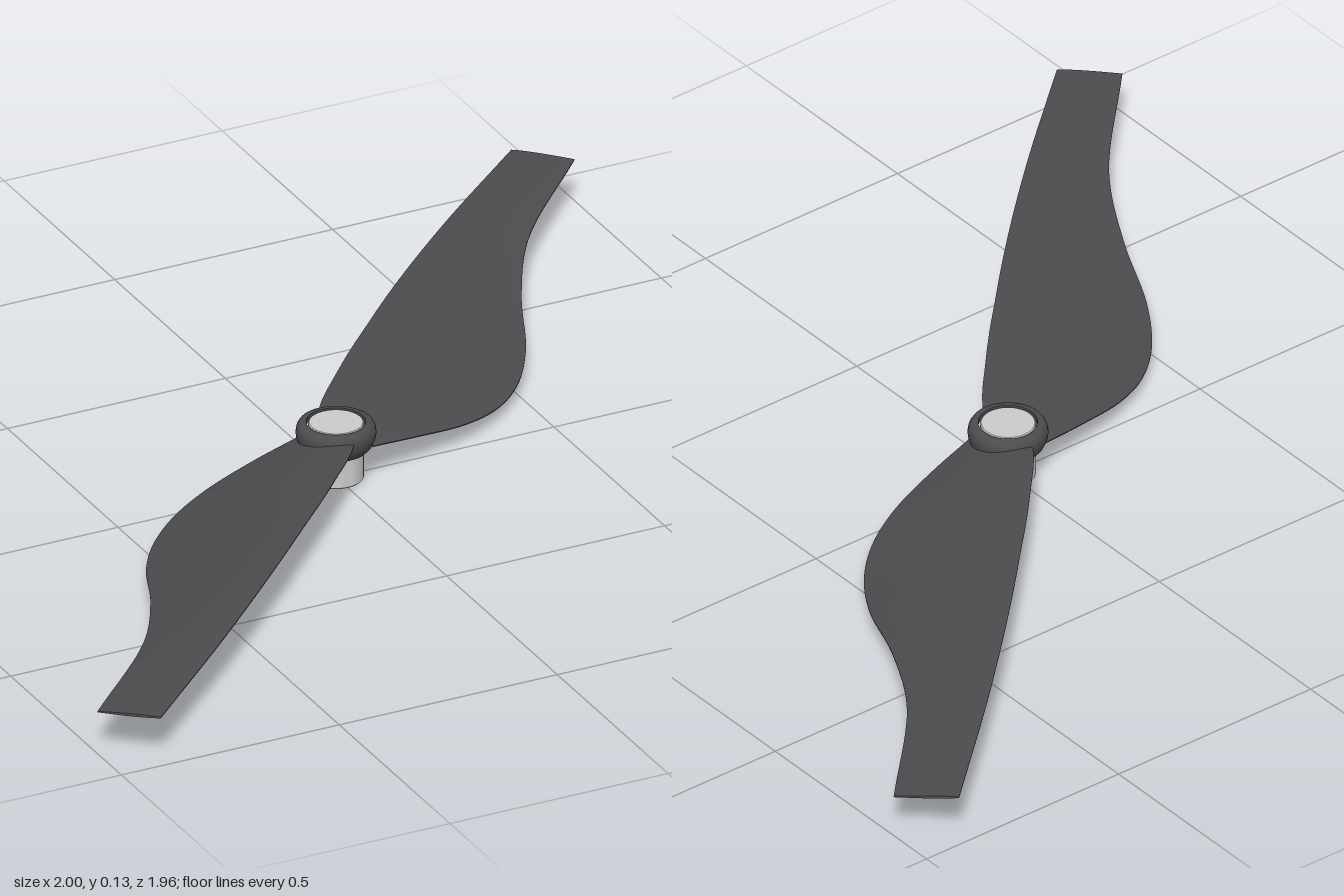
import * as THREE from 'three';
import { toCreasedNormals } from 'three/addons/utils/BufferGeometryUtils.js';

const dark = new THREE.MeshStandardMaterial({ color: 0x4c4c4f });
const grey = new THREE.MeshStandardMaterial({ color: 0xcccccc });

// Blade edges as [distance from hub, height, chordwise offset]
const LEADING = [
  [0, 0.105, -0.045], [0.1, 0.112, -0.065], [0.22, 0.116, -0.073],
  [0.33, 0.118, -0.078], [0.45, 0.119, -0.08], [0.59, 0.119, -0.082],
  [0.77, 0.116, -0.081], [0.99, 0.11, -0.075], [1.329, 0.099, -0.057],
];
const TRAILING = [
  [0, 0.082, 0.077], [0.1, 0.066, 0.14], [0.22, 0.046, 0.205],
  [0.33, 0.034, 0.238], [0.45, 0.031, 0.243], [0.59, 0.041, 0.216],
  [0.77, 0.064, 0.148], [0.99, 0.083, 0.091], [1.336, 0.095, 0.077],
];

const edgeCurve = (pts) => new THREE.CatmullRomCurve3(pts.map((p) => new THREE.Vector3(...p)));

// Thin, cambered sections lofted between the two edge curves
function bladeGeometry() {
  const lead = edgeCurve(LEADING);
  const trail = edgeCurve(TRAILING);
  const stations = 56;
  const half = 10;
  const ring = 2 * (half + 1);
  const positions = [];
  const index = [];
  for (let i = 0; i <= stations; i++) {
    const k = i / stations;
    const a = lead.getPoint(k);
    const b = trail.getPoint(k);
    const thick = THREE.MathUtils.lerp(0.008, 0.002, k);
    for (let j = 0; j < ring; j++) {
      const top = j <= half;
      const u = (top ? j : ring - 1 - j) / half;
      const bulge = Math.sin(Math.PI * Math.pow(u, 0.7));
      const p = a.clone().lerp(b, u);
      p.y += 0.004 * bulge * (1 - k) + (top ? 1 : -1) * (0.0012 + thick * bulge);
      positions.push(p.x, p.y, p.z);
    }
  }
  for (let i = 0; i < stations; i++) {
    for (let j = 0; j < ring; j++) {
      const n = (j + 1) % ring;
      const a = i * ring + j;
      const b = a + ring;
      const c = i * ring + n;
      index.push(a, c, b, c, c + ring, b);
    }
  }
  // Tip cap
  const t = stations * ring;
  for (let j = 1; j < ring - 1; j++) index.push(t, t + j, t + j + 1);
  const geometry = new THREE.BufferGeometry();
  geometry.setAttribute('position', new THREE.Float32BufferAttribute(positions, 3));
  geometry.setIndex(index);
  return toCreasedNormals(geometry, 0.7);
}

// Turned part from [radius, height] points, listed bottom to top on the outside
function turned(name, profile, material) {
  const lathe = new THREE.LatheGeometry(profile.map((p) => new THREE.Vector2(...p)), 48);
  const mesh = new THREE.Mesh(toCreasedNormals(lathe, 0.6), material);
  mesh.name = name;
  return mesh;
}

export function createModel() {
  const model = new THREE.Group();
  model.name = 'propeller';

  // Two blades, half a turn apart
  const blade = bladeGeometry();
  for (let i = 0; i < 2; i++) {
    const mesh = new THREE.Mesh(blade, dark);
    mesh.name = i ? 'rightBlade' : 'leftBlade';
    mesh.rotation.y = Math.PI / 4 + i * Math.PI;
    model.add(mesh);
  }

  // Rounded hub collar
  model.add(turned('hubCollar', [
    [0.056, 0.065], [0.066, 0.068], [0.075, 0.078], [0.081, 0.092], [0.083, 0.105],
    [0.081, 0.117], [0.076, 0.125], [0.07, 0.128], [0.061, 0.128], [0.061, 0.115],
  ], dark));

  // Metal insert with a blind bore underneath and a flat top
  model.add(turned('hubInsert', [
    [0, 0.05], [0.036, 0.05], [0.036, 0], [0.054, 0], [0.057, 0.003],
    [0.057, 0.125], [0.055, 0.127], [0, 0.127],
  ], grey));

  return model;
}
